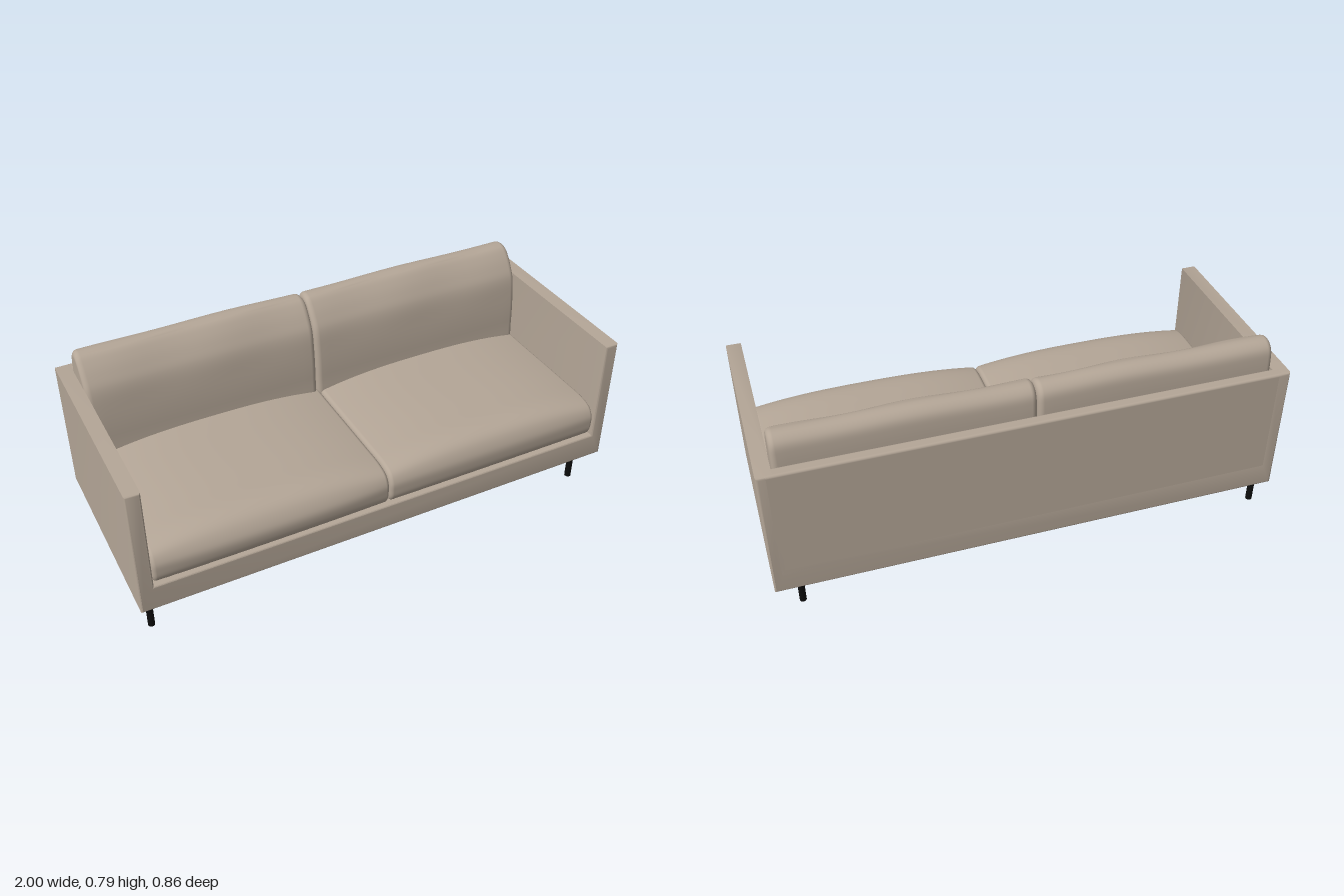
import * as THREE from 'three';
import { toCreasedNormals } from 'three/addons/utils/BufferGeometryUtils.js';
import { RoundedBoxGeometry } from 'three/addons/geometries/RoundedBoxGeometry.js';

// Lofts a closed [z, y] outline from x0 to x1 with rounded ends; shape(u, p) puffs it, u = -1..1
function cushionGeometry(outline, x0, x1, r, shape) {
  const curve = new THREE.CatmullRomCurve3(outline.map(([z, y]) => new THREE.Vector3(0, y, z)), true, 'centripetal');
  const N = 72;
  const loop = curve.getPoints(N).slice(0, N);
  const box = new THREE.Box3().setFromPoints(loop);
  const mid = box.getCenter(new THREE.Vector3());
  const half = box.getSize(new THREE.Vector3()).multiplyScalar(0.5);

  // Stations: [x, inset], closed by a collapsed ring at each end
  const stations = [];
  const ends = 6, spans = 24;
  for (let i = 0; i <= ends; i++) {
    const a = (i / ends) * Math.PI / 2;
    stations.push([x0 + r * (1 - Math.cos(a)), r * (1 - Math.sin(a))]);
  }
  for (let i = 1; i < spans; i++) stations.push([x0 + r + (x1 - x0 - 2 * r) * i / spans, 0]);
  for (let i = ends; i >= 0; i--) {
    const a = (i / ends) * Math.PI / 2;
    stations.push([x1 - r * (1 - Math.cos(a)), r * (1 - Math.sin(a))]);
  }
  stations.unshift([x0, null]);
  stations.push([x1, null]);

  const pos = [], index = [];
  stations.forEach(([x, inset], i) => {
    const u = 2 * (x - x0) / (x1 - x0) - 1;
    const sy = inset === null ? 0 : 1 - inset / half.y;
    const sz = inset === null ? 0 : 1 - inset / half.z;
    loop.forEach((q, j) => {
      const p = new THREE.Vector3(x, mid.y + (q.y - mid.y) * sy, mid.z + (q.z - mid.z) * sz);
      shape(u, p);
      pos.push(p.x, p.y, p.z);
      if (i === stations.length - 1) return;
      const a = i * N + j, b = i * N + (j + 1) % N, c = a + N, d = b + N;
      if (i > 0) index.push(a, b, c);
      if (i < stations.length - 2) index.push(b, d, c);
      else return;
      if (i === 0) return;
    });
  });
  const g = new THREE.BufferGeometry();
  g.setAttribute('position', new THREE.Float32BufferAttribute(pos, 3));
  g.setIndex(index);
  g.computeVertexNormals();
  return g;
}

export function createModel() {
  const fabric = new THREE.MeshStandardMaterial({ color: 0xb4a697 });
  fabric.name = 'beige fabric';
  const metal = new THREE.MeshStandardMaterial({ color: 0x0c0c0c });
  metal.name = 'black metal';

  const sofa = new THREE.Group();
  sofa.name = 'sofa';
  const add = (name, geometry, material) => {
    const mesh = new THREE.Mesh(geometry, material);
    mesh.name = name;
    sofa.add(mesh);
    return mesh;
  };

  // U-shaped frame: both arms and the base, with softened edges
  const b = 0.01;
  const u = new THREE.Shape([
    [-1, 0.13], [1, 0.13], [1, 0.673], [0.942, 0.673],
    [0.942, 0.24], [-0.942, 0.24], [-0.942, 0.673], [-1, 0.673],
  ].map(([x, y]) => new THREE.Vector2(x, y)));
  const frame = new THREE.ExtrudeGeometry(u, {
    depth: 0.84 - 2 * b, bevelEnabled: true, bevelThickness: b, bevelSize: b, bevelOffset: -b, bevelSegments: 4,
  });
  frame.translate(0, 0, -0.43 + b);
  add('armsAndBase', toCreasedNormals(frame, 0.7), fabric);

  // Back panel
  const back = add('backPanel', new RoundedBoxGeometry(1.95, 0.473, 0.046, 4, 0.01), fabric);
  back.position.set(0, 0.4365, -0.407);

  // Seat cushions, crowned on top and bulging at the front
  const seat = [
    [-0.37, 0.25], [-0.375, 0.31], [-0.37, 0.37], [-0.34, 0.386], [-0.1, 0.388], [0.2, 0.388], [0.34, 0.384],
    [0.385, 0.367], [0.404, 0.335], [0.406, 0.3], [0.402, 0.265], [0.385, 0.243], [0.2, 0.238], [-0.34, 0.238],
  ];
  const seatShape = (bulge) => (t, p) => {
    const w = 1 - Math.abs(t) ** 2.6;
    const h = THREE.MathUtils.clamp((p.y - 0.24) / 0.145, 0, 1);
    p.y += 0.034 * w * h * h;
    if (p.z > 0.3) p.z += bulge * w * Math.sin(Math.PI * Math.min(1, h)) * (p.z - 0.3) / 0.1;
  };
  add('rightSeatCushion', cushionGeometry(seat, -0.941, -0.001, 0.016, seatShape(0.02)), fabric);
  add('leftSeatCushion', cushionGeometry(seat, 0.001, 0.941, 0.016, seatShape(0.01)), fabric);

  // Back cushions, wedge-shaped with a rounded top
  const backrest = [
    [-0.375, 0.3], [-0.382, 0.5], [-0.382, 0.7], [-0.373, 0.752], [-0.35, 0.775], [-0.322, 0.781], [-0.295, 0.773],
    [-0.268, 0.748], [-0.24, 0.71], [-0.216, 0.665], [-0.2, 0.58], [-0.19, 0.45], [-0.195, 0.32], [-0.28, 0.28],
  ];
  const backShape = (phase) => (t, p) => {
    const h = THREE.MathUtils.smoothstep(p.y, 0.55, 0.78);
    p.y += h * (0.004 * (1 - t * t) + 0.002 * Math.sin(5 * t + phase));
    if (p.z > -0.3) p.z += 0.004 * h * Math.sin(7 * t + phase);
  };
  add('rightBackCushion', cushionGeometry(backrest, -0.943, -0.014, 0.022, backShape(0)), fabric);
  add('leftBackCushion', cushionGeometry(backrest, -0.012, 0.938, 0.022, backShape(2)), fabric);

  // Legs
  for (const x of [-0.958, 0.902]) {
    for (const z of [0.351, -0.364]) {
      const leg = add(`${z > 0 ? 'front' : 'back'}${x > 0 ? 'Left' : 'Right'}Leg`,
        new THREE.CylinderGeometry(0.013, 0.013, 0.14, 20), metal);
      leg.position.set(x, 0.07, z);
    }
  }
  return sofa;
}
